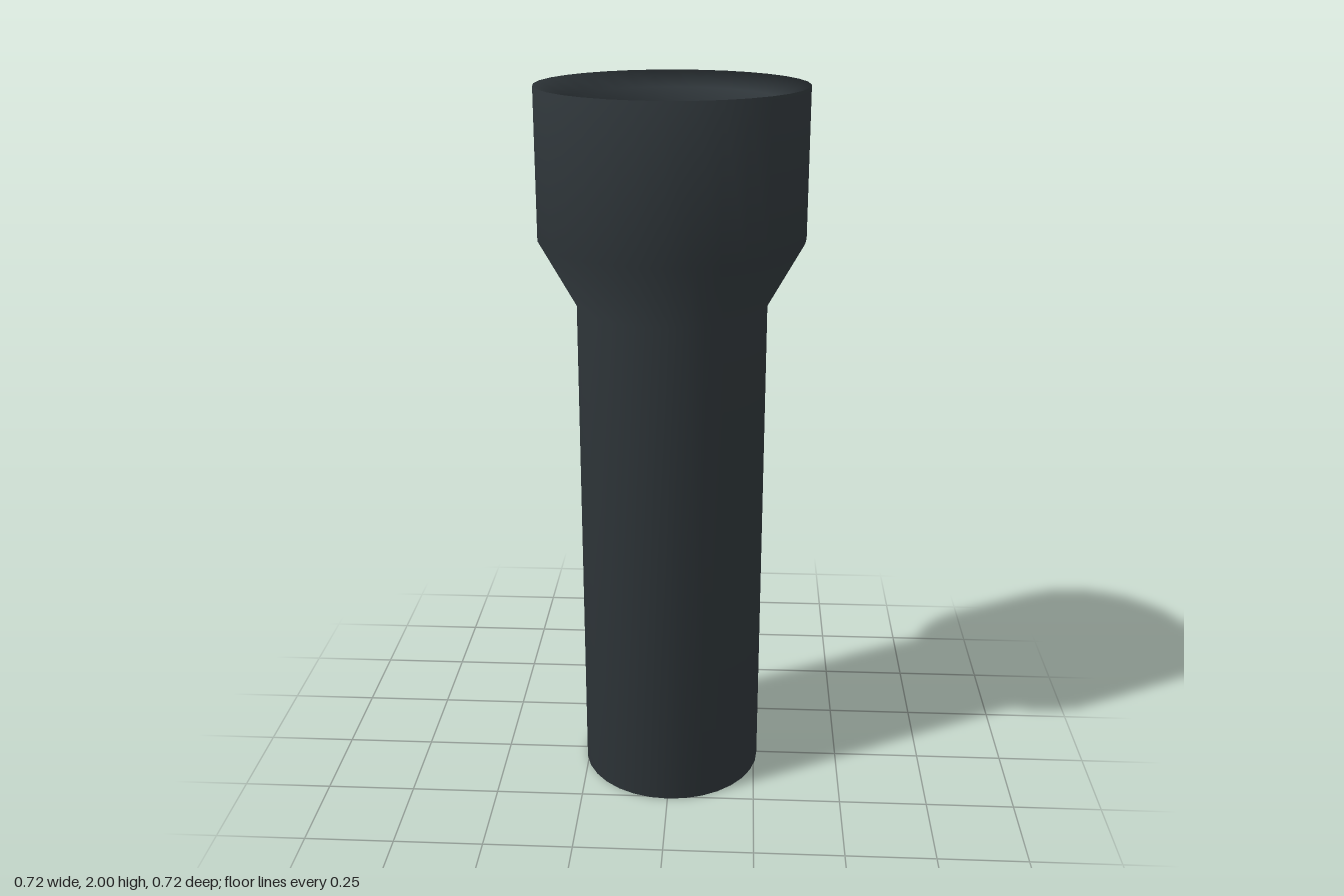
import * as THREE from 'three';

const SIDES = 32;

export function createModel() {
  const group = new THREE.Group();
  group.name = 'flashlight';

  // Casing: closed base, straight handle, flared head, sloping rim and inner wall
  const profile = [
    [0, 0], [0.26, 0], [0.26, 1.42], [0.36, 1.6],
    [0.36, 2], [0.29, 1.96], [0.287, 1.89],
  ].map(([r, y]) => new THREE.Vector2(r, y));
  const casing = new THREE.Mesh(
    new THREE.LatheGeometry(profile, SIDES),
    new THREE.MeshStandardMaterial({ color: 0x2f363a, side: THREE.DoubleSide })
  );
  casing.name = 'casing';
  group.add(casing);

  // Flat lens recessed inside the rim
  const lens = new THREE.Mesh(
    new THREE.CircleGeometry(0.287, SIDES).rotateX(-Math.PI / 2),
    new THREE.MeshStandardMaterial({ color: 0xcfc5c4, side: THREE.DoubleSide })
  );
  lens.name = 'lens';
  lens.position.y = 1.895;
  group.add(lens);

  return group;
}
